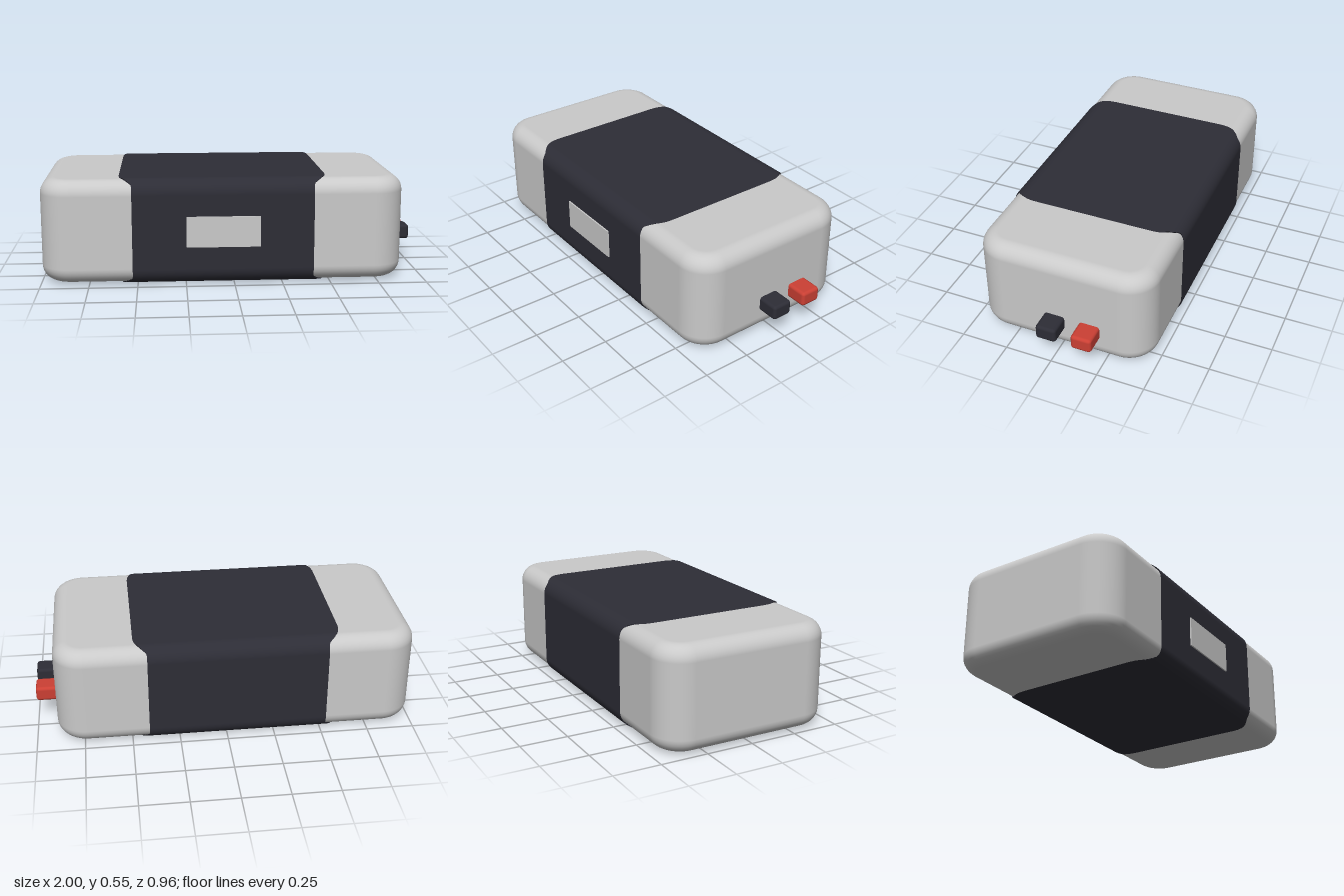
import * as THREE from 'three';
import { RoundedBoxGeometry } from 'three/addons/geometries/RoundedBoxGeometry.js';

const shell = new THREE.MeshStandardMaterial({ name: 'lightGrey', color: 0xcacaca });
const dark = new THREE.MeshStandardMaterial({ name: 'charcoal', color: 0x2d2d36 });
const red = new THREE.MeshStandardMaterial({ name: 'red', color: 0xcc4034 });

const CZ = -0.0035, CY = 0.276;

function add(group, name, geometry, material, x, y, z) {
  const mesh = new THREE.Mesh(geometry, material);
  mesh.name = name;
  mesh.position.set(x, y, z);
  group.add(mesh);
}

// Block with large vertical-edge rounding (r) and smaller top/bottom rounding (b)
function softBlock(hx, hy, hz, r, b) {
  const s = new THREE.Shape();
  s.absarc(hx - r, hz - r, r, 0, Math.PI / 2);
  s.absarc(-hx + r, hz - r, r, Math.PI / 2, Math.PI);
  s.absarc(-hx + r, -hz + r, r, Math.PI, Math.PI * 1.5);
  s.absarc(hx - r, -hz + r, r, Math.PI * 1.5, Math.PI * 2);
  const g = new THREE.ExtrudeGeometry(s, {
    depth: 2 * (hy - b), bevelThickness: b, bevelSize: b, bevelOffset: -b,
    bevelSegments: 8, curveSegments: 12,
  });
  g.translate(0, 0, -(hy - b));
  g.rotateX(-Math.PI / 2);
  // Smooth normals: direction away from the rounded core
  const p = g.attributes.position, n = new THREE.Vector3();
  for (let i = 0; i < p.count; i++) {
    const x = p.getX(i), y = p.getY(i), z = p.getZ(i);
    const qx = Math.max(Math.abs(x) - (hx - r), 0), qz = Math.max(Math.abs(z) - (hz - r), 0);
    const l = Math.hypot(qx, qz) || 1;
    const d = Math.max(Math.hypot(qx, qz) - (r - b) - 0.0005, 0);
    n.set(Math.sign(x) * qx / l * d, Math.sign(y) * Math.max(Math.abs(y) - (hy - b), 0), Math.sign(z) * qz / l * d);
    n.normalize();
    g.attributes.normal.setXYZ(i, n.x, n.y, n.z);
  }
  return g;
}

// Wrap around the block; its ends curve in where it rolls over the long edges
function sleeveGeometry(hy, hz, r) {
  const quarter = [[0, hy, 0, 1], [0.33, hy, 0, 1], [0.365, hy, 0, 1]];
  for (let i = 0; i <= 8; i++) {
    const a = (i / 8) * Math.PI / 2, s = Math.sin(a), c = Math.cos(a);
    quarter.push([hz - r + r * s, hy - r + r * c, s, c]);
  }
  const down = quarter.slice().reverse().map(([z, y, nz, ny]) => [z, -y, nz, -ny]);
  const half = [...quarter, ...down];
  const ring = [...half, ...half.slice(0, -1).reverse().map(([z, y, nz, ny]) => [-z, y, -nz, ny])];
  const pos = [], nor = [], idx = [];
  for (const [z, y, nz, ny] of ring) {
    const dz = Math.min(Math.max(Math.abs(z) - 0.33, 0), 0.125);
    const w = 0.535 - (0.15 - Math.sqrt(0.0225 - dz * dz));
    // inner rim, outer edge, outer edge, inner rim
    for (const [x, inset] of [[-w, 0.012], [-w, 0], [w, 0], [w, 0.012]]) {
      pos.push(x, y - ny * inset, z - nz * inset);
      nor.push(0, ny, nz);
    }
  }
  for (let i = 0; i < ring.length - 1; i++) {
    for (let k = 0; k < 3; k++) {
      const a = i * 4 + k, b = a + 4;
      idx.push(a, b, a + 1, b, b + 1, a + 1);
    }
  }
  const g = new THREE.BufferGeometry();
  g.setAttribute('position', new THREE.Float32BufferAttribute(pos, 3));
  g.setAttribute('normal', new THREE.Float32BufferAttribute(nor, 3));
  g.setIndex(idx);
  return g;
}

export function createModel() {
  const model = new THREE.Group();
  model.name = 'batteryPack';

  add(model, 'body', softBlock(0.945, 0.27, 0.471, 0.16, 0.08), shell, -0.055, CY, CZ);
  add(model, 'sleeve', sleeveGeometry(0.276, 0.476, 0.083), dark, -0.0575, CY, CZ);
  add(model, 'frontLabel', new THREE.BoxGeometry(0.38, 0.16, 0.009), shell, -0.0575, 0.28, 0.4755);

  // Terminals on the end face
  const terminal = () => new RoundedBoxGeometry(0.13, 0.08, 0.11, 2, 0.017);
  add(model, 'darkTerminal', terminal(), dark, 0.935, 0.17, 0.025);
  add(model, 'redTerminal', terminal(), red, 0.935, 0.17, -0.165);

  return model;
}
